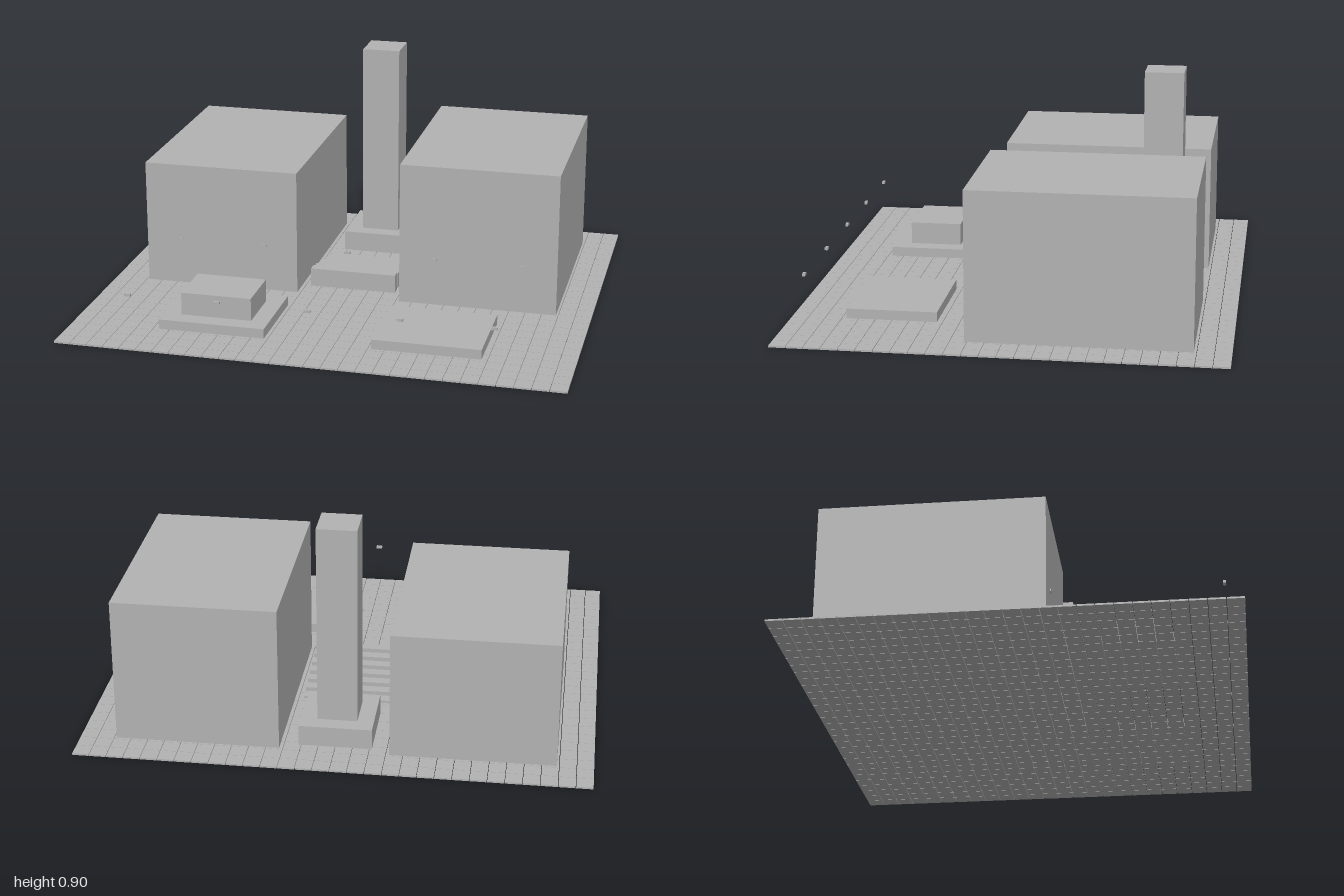
import * as THREE from 'three';
import { mergeGeometries } from 'three/addons/utils/BufferGeometryUtils.js';

export function createModel() {
  const group = new THREE.Group();
  group.name = 'plaza';
  const grey = new THREE.MeshStandardMaterial({ color: 0xb2b2b2 });
  grey.name = 'concreteGrey';
  const FLOOR = 0.007;

  // Box given by its centre in plan and its bottom and top heights
  function block(name, x, z, width, depth, bottom, top) {
    const mesh = new THREE.Mesh(new THREE.BoxGeometry(width, top - bottom, depth), grey);
    mesh.name = name;
    mesh.position.set(x, (bottom + top) / 2, z);
    group.add(mesh);
  }

  // Paving: thin tiles with narrow joints
  const cols = 30, rows = 26, gap = 0.002;
  const dx = 2 / cols, dz = 1.714 / rows;
  const tiles = [];
  for (let i = 0; i < cols; i++) {
    for (let j = 0; j < rows; j++) {
      const tile = new THREE.BoxGeometry(dx - gap, FLOOR, dz - gap);
      tile.translate((i + 0.5) * dx - 1, FLOOR / 2, (j + 0.5) * dz - 0.857);
      tiles.push(tile);
    }
  }
  const paving = new THREE.Mesh(mergeGeometries(tiles), grey);
  paving.name = 'pavingTiles';
  group.add(paving);

  // Two large halls
  block('rightHall', -0.536, -0.286, 0.643, 0.857, FLOOR, 0.521);
  block('leftHall', 0.536, -0.286, 0.643, 0.857, FLOOR, 0.593);

  // Tower on its plinth
  block('towerPlinth', 0, -0.536, 0.286, 0.286, FLOOR, 0.09);
  block('tower', 0, -0.536, 0.157, 0.157, 0.09, 0.897);

  // Steps between the halls, rising towards the front
  for (let i = 0; i < 7; i++) {
    block('step', 0, -0.286 + i * 0.0536, 0.357, 0.043, FLOOR, FLOOR + (i + 1) * 0.0108);
  }

  // Front platforms, one with a raised block
  block('rightPlatform', -0.429, 0.464, 0.429, 0.357, FLOOR, 0.046);
  block('leftPlatform', 0.429, 0.464, 0.429, 0.357, FLOOR, 0.046);
  block('platformBlock', -0.429, 0.464, 0.286, 0.214, 0.046, 0.138);

  // Two rows of small hanging lamps
  for (const z of [0.141, 0.786]) {
    for (let i = -2; i <= 2; i++) block('lamp', i * 0.357, z, 0.024, 0.011, 0.195, 0.206);
  }
  return group;
}
